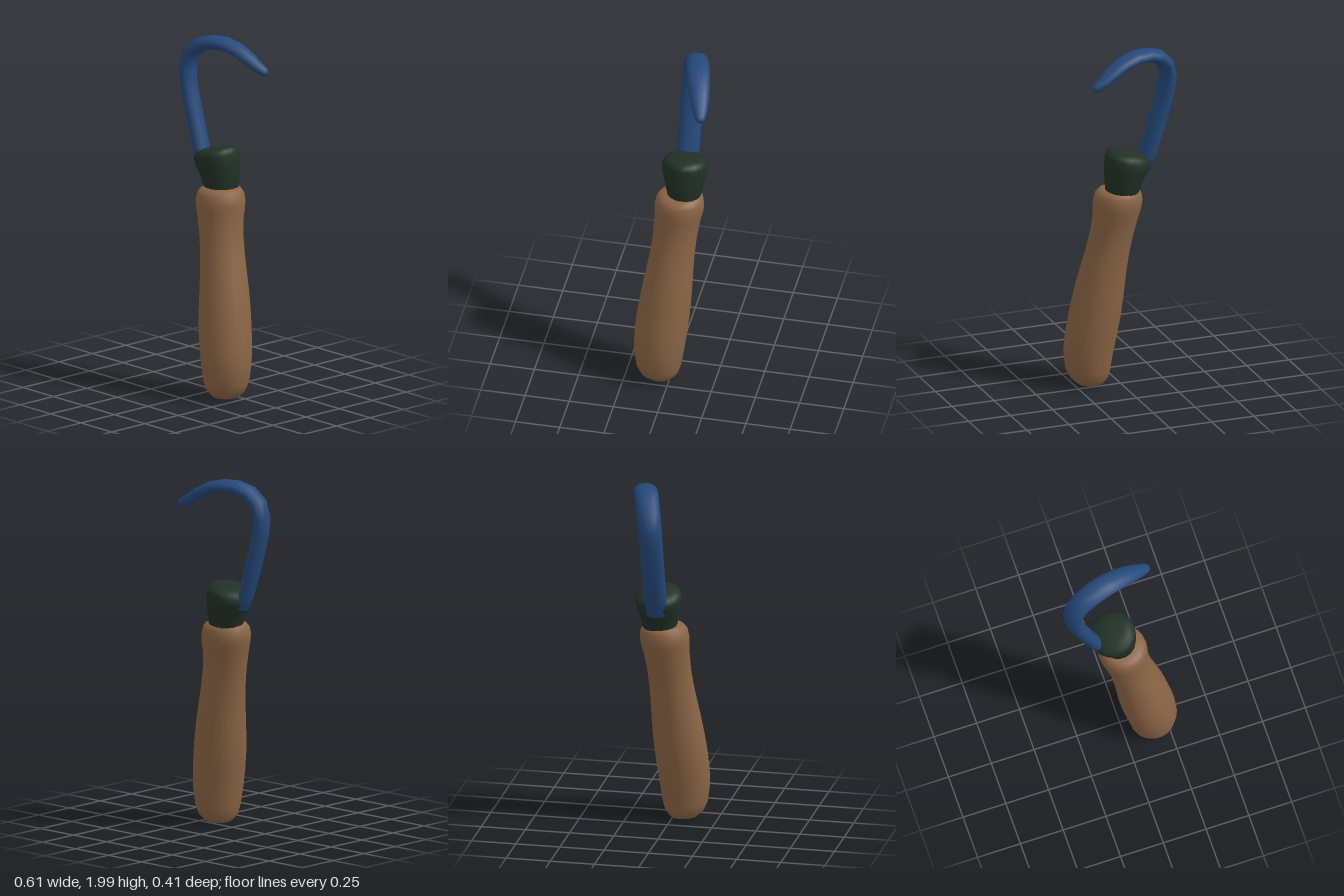
import * as THREE from 'three';

const wood = new THREE.MeshStandardMaterial({ name: 'brown wood', color: 0x8b6545 });
const rubber = new THREE.MeshStandardMaterial({ name: 'dark green', color: 0x213126 });
const steel = new THREE.MeshStandardMaterial({ name: 'blue steel', color: 0x25497a });

// Closed skin over elliptical rings, each given by a centre c and half-axes a and b
function loft(rings, sides) {
  const pos = [], index = [], last = rings.length - 1;
  for (const { c, a, b } of rings) {
    for (let i = 0; i < sides; i++) {
      const t = (i / sides) * Math.PI * 2;
      const p = c.clone().addScaledVector(a, Math.cos(t)).addScaledVector(b, Math.sin(t));
      pos.push(p.x, p.y, p.z);
    }
  }
  const start = pos.length / 3, end = start + 1;
  pos.push(...rings[0].c.toArray(), ...rings[last].c.toArray());
  for (let i = 0; i < sides; i++) {
    const j = (i + 1) % sides;
    for (let r = 0; r < last; r++) {
      const k = r * sides, n = k + sides;
      index.push(k + i, k + j, n + j, k + i, n + j, n + i);
    }
    index.push(start, j, i, end, last * sides + i, last * sides + j);
  }
  const geo = new THREE.BufferGeometry();
  geo.setAttribute('position', new THREE.Float32BufferAttribute(pos, 3));
  geo.setIndex(index);
  geo.computeVertexNormals();
  return geo;
}

// Stacked round sections: [y, centre x, centre z, radius, tilt]
function stack(sections, sides) {
  return loft(sections.map(([y, x, z, r, tilt = 0]) => ({
    c: new THREE.Vector3(x, y, z),
    a: new THREE.Vector3(r, r * tilt, 0),
    b: new THREE.Vector3(0, 0, -r),
  })), sides);
}

function named(name, geo, mat) {
  const mesh = new THREE.Mesh(geo, mat);
  mesh.name = name;
  return mesh;
}

// Leaning handle with a bulbous lower end and a rounded collar
function handle() {
  return stack([
    [0.005, 0.155, 0.055, 0.04], [0.015, 0.157, 0.057, 0.075], [0.05, 0.162, 0.062, 0.108],
    [0.1, 0.168, 0.064, 0.126], [0.2, 0.166, 0.063, 0.14], [0.3, 0.153, 0.056, 0.146],
    [0.4, 0.138, 0.047, 0.147], [0.5, 0.124, 0.037, 0.144], [0.6, 0.11, 0.027, 0.138],
    [0.7, 0.093, 0.017, 0.13], [0.8, 0.074, 0.007, 0.124], [0.9, 0.054, -0.003, 0.122],
    [1.0, 0.036, -0.013, 0.128], [1.06, 0.028, -0.02, 0.136], [1.1, 0.025, -0.022, 0.138],
    [1.14, 0.024, -0.024, 0.131], [1.163, 0.023, -0.026, 0.114], [1.172, 0.022, -0.028, 0.085],
  ], 22);
}

// Flared ferrule with a domed top that slopes towards the hook
function ferrule() {
  return stack([
    [1.12, 0.01, -0.045, 0.08], [1.16, 0.006, -0.045, 0.094], [1.2, 0.001, -0.045, 0.103],
    [1.25, -0.008, -0.045, 0.114, 0.05], [1.3, -0.022, -0.045, 0.127, 0.1],
    [1.345, -0.03, -0.045, 0.131, 0.18], [1.37, -0.026, -0.042, 0.116, 0.2],
    [1.384, -0.02, -0.04, 0.085, 0.2], [1.39, -0.015, -0.038, 0.045, 0.18],
  ], 18);
}

// Curved hook, flatter across the bend than through its depth
function hook() {
  // [x, y, z, half thickness, half depth]
  const keys = [
    [-0.11, 1.27, -0.037, 0.038, 0.058], [-0.148, 1.37, -0.037, 0.04, 0.062],
    [-0.19, 1.5, -0.037, 0.042, 0.063], [-0.224, 1.61, -0.037, 0.042, 0.064],
    [-0.251, 1.71, -0.037, 0.042, 0.064], [-0.264, 1.8, -0.042, 0.043, 0.065],
    [-0.247, 1.88, -0.052, 0.044, 0.066], [-0.195, 1.937, -0.07, 0.042, 0.066],
    [-0.12, 1.962, -0.092, 0.038, 0.067], [-0.04, 1.964, -0.115, 0.036, 0.066],
    [0.04, 1.942, -0.136, 0.036, 0.062], [0.11, 1.903, -0.155, 0.035, 0.054],
    [0.17, 1.864, -0.17, 0.03, 0.042], [0.215, 1.84, -0.181, 0.024, 0.029],
    [0.23, 1.833, -0.184, 0.014, 0.017],
  ];
  const path = new THREE.CatmullRomCurve3(keys.map(k => new THREE.Vector3(k[0], k[1], k[2])));
  const depth = new THREE.Vector3(0.273, 0, 0.962);
  const steps = keys.length - 1;
  return loft(keys.map(([, , , thick, deep], i) => ({
    c: path.getPoint(i / steps),
    a: depth.clone().cross(path.getTangent(i / steps)).normalize().multiplyScalar(thick),
    b: depth.clone().multiplyScalar(deep),
  })), 12);
}

export function createModel() {
  const model = new THREE.Group();
  model.name = 'hookTool';
  model.add(
    named('handle', handle(), wood),
    named('ferrule', ferrule(), rubber),
    named('hook', hook(), steel),
  );
  return model;
}
